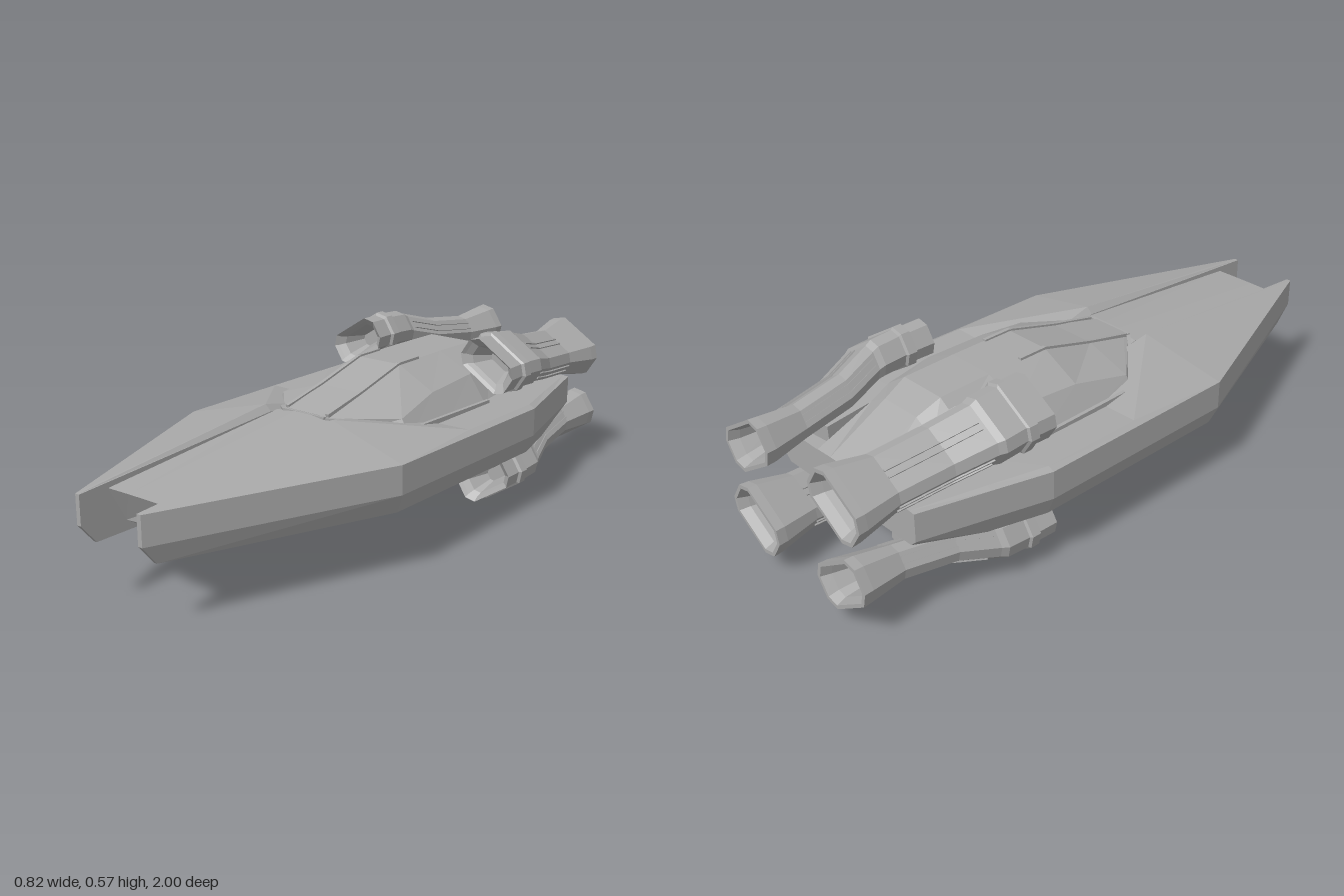
import * as THREE from 'three';

const hullGrey = new THREE.MeshStandardMaterial({ color: 0xa8a8a8, flatShading: true });
hullGrey.name = 'hull grey';
const MID = 0.285; // height of the upper/lower mirror plane

// Skins a row of equal-length cross-sections (counter-clockwise seen from the front),
// caps both ends, and mirrors across x (sx) or the mid plane (sy).
function loft(name, sections, sx = 1, sy = 1) {
  const pos = [];
  const put = (p) => pos.push(sx * p[0], MID + sy * (p[1] - MID), p[2]);
  const tri = (a, b, c) => (sx * sy > 0 ? [a, b, c] : [a, c, b]).forEach(put);
  const n = sections[0].length;
  for (let s = 0; s < sections.length - 1; s++) {
    const A = sections[s], B = sections[s + 1];
    for (let i = 0; i < n; i++) {
      const j = (i + 1) % n;
      tri(A[i], B[i], B[j]);
      tri(A[i], B[j], A[j]);
    }
  }
  const first = sections[0], last = sections[sections.length - 1];
  for (let i = 1; i < n - 1; i++) {
    tri(first[0], first[i], first[i + 1]);
    tri(last[0], last[i + 1], last[i]);
  }
  const g = new THREE.BufferGeometry();
  g.setAttribute('position', new THREE.Float32BufferAttribute(pos, 3));
  g.computeVertexNormals();
  const m = new THREE.Mesh(g, hullGrey);
  m.name = name;
  return m;
}

// Thin rectangular bar between two points
function bar(name, a, b, w, h, sx = 1, sy = 1) {
  const fix = (p) => new THREE.Vector3(sx * p[0], MID + sy * (p[1] - MID), p[2]);
  const A = fix(a), B = fix(b);
  const m = new THREE.Mesh(new THREE.BoxGeometry(w, h, A.distanceTo(B)), hullGrey);
  m.position.copy(A).lerp(B, 0.5);
  m.lookAt(B);
  m.name = name;
  return m;
}

// Symmetric section from half-width points listed bottom to top
const symmetric = (z, half) => [
  ...half.map(([x, y]) => [x, y, z]),
  ...half.slice().reverse().map(([x, y]) => [-x, y, z]),
];

// Engine stations: z, centre x, centre y, half length, half thickness
const ENGINE = [
  [-0.45, 0.262, 0.475, 0.040, 0.020],
  [-0.385, 0.262, 0.475, 0.070, 0.038],
  [-0.37, 0.262, 0.475, 0.088, 0.047],
  [-0.36, 0.262, 0.475, 0.098, 0.056],
  [-0.425, 0.262, 0.475, 0.096, 0.055],
  [-0.43, 0.262, 0.475, 0.105, 0.062],
  [-0.46, 0.262, 0.475, 0.105, 0.062],
  [-0.465, 0.262, 0.475, 0.097, 0.056],
  [-0.54, 0.262, 0.470, 0.097, 0.056],
  [-0.56, 0.258, 0.465, 0.090, 0.052],
  [-0.68, 0.225, 0.435, 0.085, 0.050],
  [-0.85, 0.205, 0.415, 0.083, 0.050],
  [-0.97, 0.200, 0.410, 0.106, 0.066],
  [-1.0, 0.200, 0.410, 0.108, 0.068],
  [-1.0, 0.200, 0.410, 0.097, 0.057],
  [-0.97, 0.200, 0.410, 0.086, 0.047],
  [-0.88, 0.204, 0.414, 0.060, 0.032],
];
// Rolls a local (u, v) offset onto the slanted engine axis
const roll = ([z, cx, cy], u, v) => [cx + 0.84 * u + 0.54 * v, cy - 0.54 * u + 0.84 * v, z];

function engineSection(st) {
  const [, , , a, b] = st, c = b * 0.48;
  return [[a, c - b], [a, b - c], [a - c, b], [c - a, b], [-a, b - c], [-a, c - b], [c - a, -b], [a - c, -b]]
    .map(([u, v]) => roll(st, u, v));
}

function engine(sx, sy) {
  const g = new THREE.Group();
  g.name = 'engine';
  g.add(loft('engineBody', ENGINE.map(engineSection), sx, sy));
  // Paired rails forming a long slot on each of the four faces
  const path = [[-0.57, 0.255, 0.4625, 0.0895, 0.052], ENGINE[10], ENGINE[11]];
  for (const side of [1, -1]) for (const k of [-0.011, 0.011]) {
    const rect = (p, q, r, t) => [[p - r, q - t], [p + r, q - t], [p + r, q + t], [p - r, q + t]];
    g.add(loft('slotRail', path.map((s) => rect(k, side * s[4], 0.003, 0.005).map(([u, v]) => roll(s, u, v))), sx, sy));
    g.add(loft('slotRail', path.map((s) => rect(side * s[3], k, 0.005, 0.003).map(([u, v]) => roll(s, u, v))), sx, sy));
  }
  // Mount joining the engine to the hull
  g.add(bar('engineMount', [0.2, 0.375, -0.52], [0.175, 0.365, -0.78], 0.08, 0.08, sx, sy));
  return g;
}

export function createModel() {
  const model = new THREE.Group();
  model.name = 'spacecraft';

  // Hull sides: z, outer x, bottom x, bottom y, bottom z, ridge x, ridge y, ridge z, inner x, inner y
  const hull = [
    [1.0, 0.125, 0.122, 0.2, 0.95, 0.115, 0.35, 1.0, 0.11, 0.35],
    [0.28, 0.41, 0.385, 0.2, 0.27, 0.13, 0.42, 0.25, 0.11, 0.40],
    [-0.08, 0.41, 0.385, 0.2, -0.08, 0.39, 0.36, -0.08, 0.11, 0.355],
    [-0.42, 0.41, 0.385, 0.2, -0.42, 0.39, 0.36, -0.42, 0.11, 0.355],
    [-0.6, 0.36, 0.335, 0.2, -0.6, 0.34, 0.357, -0.6, 0.11, 0.355],
    [-0.82, 0.30, 0.28, 0.24, -0.82, 0.28, 0.352, -0.82, 0.11, 0.35],
  ].map(([z, xo, xb, yb, zb, xr, yr, zr, xi, yi]) => [
    [xi, 0.26, z], [xi, yb, zb], [xb, yb, zb], [xo, 0.26, z], [xo, 0.35, z], [xr, yr, zr], [xi, yi, zr],
  ]);
  for (const sx of [1, -1]) model.add(loft('hullSide', hull, sx));

  // Centre spine between the prongs: z, bottom z, bottom y, edge y, crown y
  const w = 0.112;
  model.add(loft('hullCentre', [
    [0.9, 0.84, 0.23, 0.34, 0.341],
    [0.22, 0.22, 0.23, 0.40, 0.412],
    [-0.1, -0.1, 0.22, 0.355, 0.357],
    [-0.6, -0.6, 0.22, 0.355, 0.357],
    [-0.82, -0.82, 0.24, 0.35, 0.351],
  ].map(([z, zb, yb, ye, yc]) => [
    [-w, yb, zb], [w, yb, zb], [w, 0.275, z], [w, ye, z], [0.03, yc, z], [-0.03, yc, z], [-w, ye, z],
  ])));

  // Canopy and rear fairing
  model.add(loft('canopy', [
    symmetric(0.22, [[0.08, 0.34], [0.08, 0.405], [0.06, 0.413]]),
    symmetric(0.05, [[0.27, 0.34], [0.235, 0.395], [0.08, 0.447]]),
    symmetric(-0.14, [[0.27, 0.34], [0.21, 0.43], [0.08, 0.498]]),
    symmetric(-0.36, [[0.27, 0.34], [0.2, 0.44], [0.08, 0.498]]),
    symmetric(-0.54, [[0.24, 0.34], [0.16, 0.44], [0.08, 0.495]]),
    symmetric(-0.62, [[0.22, 0.34], [0.14, 0.42], [0.07, 0.46]]),
    symmetric(-0.82, [[0.16, 0.335], [0.13, 0.352], [0.07, 0.354]]),
  ]));

  // Belly pod, shaped upside down and mirrored below the hull
  model.add(loft('bellyPod', [
    symmetric(0.22, [[0.08, 0.35], [0.08, 0.372], [0.07, 0.374]]),
    symmetric(0.1, [[0.215, 0.35], [0.15, 0.44], [0.08, 0.455]]),
    symmetric(0.05, [[0.265, 0.35], [0.185, 0.445], [0.08, 0.457]]),
    symmetric(-0.14, [[0.265, 0.35], [0.19, 0.445], [0.08, 0.459]]),
    symmetric(-0.5, [[0.25, 0.35], [0.18, 0.445], [0.08, 0.459]]),
    symmetric(-0.7, [[0.18, 0.33], [0.12, 0.36], [0.07, 0.36]]),
  ], 1, -1));

  for (const sx of [1, -1]) {
    // Canopy ribs and rim
    model.add(bar('canopyRib', [0.078, 0.412, 0.21], [0.078, 0.447, 0.05], 0.012, 0.012, sx));
    model.add(bar('canopyRib', [0.078, 0.447, 0.05], [0.078, 0.498, -0.14], 0.012, 0.012, sx));
    model.add(bar('canopyRib', [0.078, 0.498, -0.14], [0.078, 0.498, -0.24], 0.012, 0.012, sx));
    model.add(bar('canopyRim', [0.08, 0.40, 0.222], [0.272, 0.37, 0.05], 0.012, 0.02, sx));
    model.add(bar('canopyRim', [0.272, 0.365, 0.05], [0.272, 0.358, -0.36], 0.012, 0.02, sx));
    // Belly ribs and rim
    model.add(bar('bellyRib', [0.078, 0.374, 0.22], [0.078, 0.455, 0.1], 0.014, 0.012, sx, -1));
    model.add(bar('bellyRib', [0.078, 0.455, 0.1], [0.078, 0.459, -0.14], 0.014, 0.012, sx, -1));
    model.add(bar('bellyRim', [0.08, 0.37, 0.222], [0.268, 0.37, 0.05], 0.012, 0.016, sx, -1));
    for (const sy of [1, -1]) model.add(engine(sx, sy));
  }
  model.add(bar('canopyRim', [-0.08, 0.402, 0.222], [0.08, 0.402, 0.222], 0.012, 0.02));

  return model;
}
